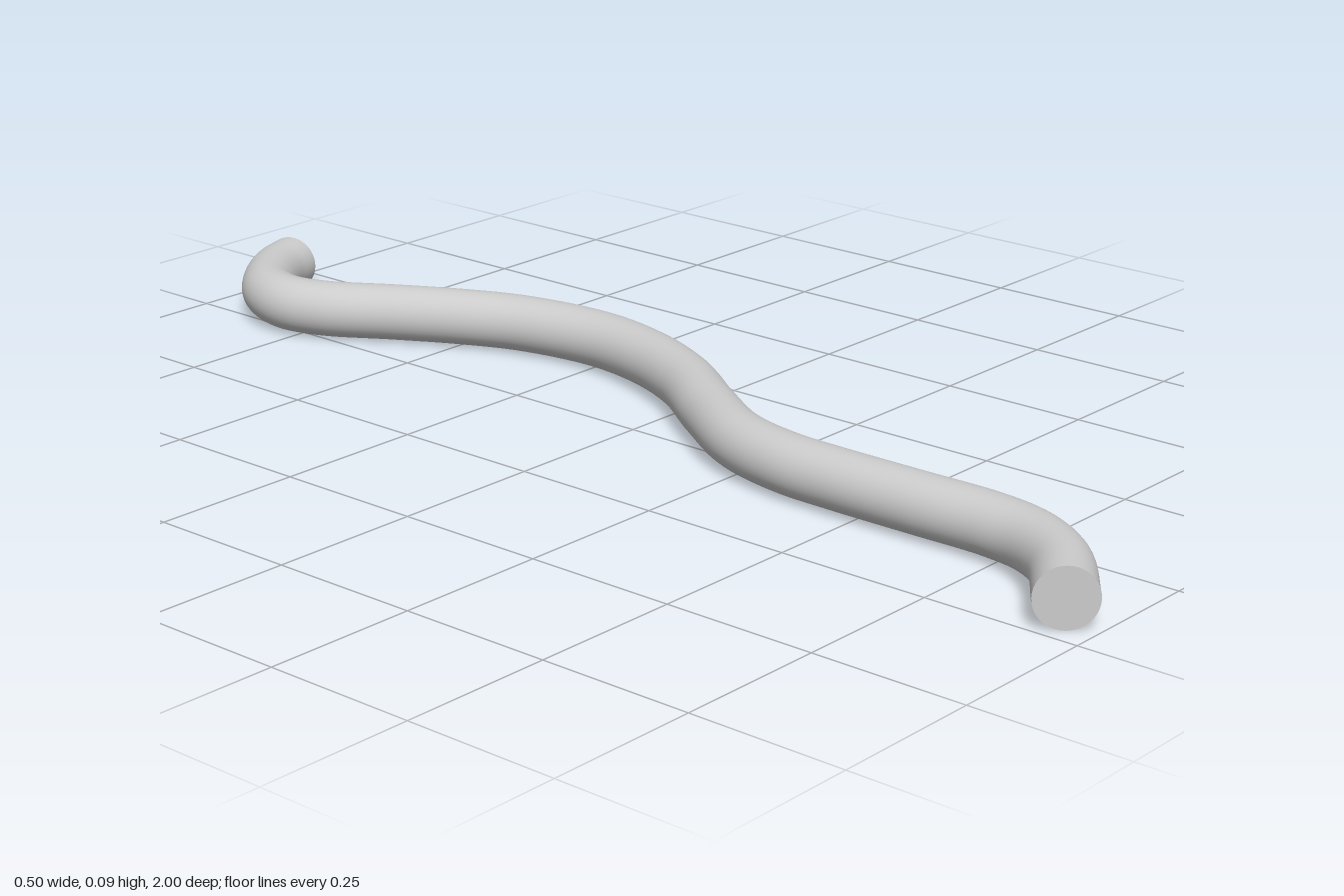
import * as THREE from 'three';

const RADIUS = 0.047;

// Centre line of the rod, as [x, z] at constant height
const PATH = [
  [0.165, -0.955], [0.115, -0.937], [0.062, -0.9], [0.018, -0.85], [0.0, -0.785], [0.017, -0.715],
  [0.08, -0.61], [0.14, -0.5], [0.18, -0.4], [0.2, -0.25], [0.178, -0.12], [0.127, 0.0],
  [0.045, 0.12], [-0.028, 0.24], [-0.057, 0.35], [-0.062, 0.45], [-0.062, 0.6], [-0.062, 0.73],
  [-0.078, 0.81], [-0.122, 0.882], [-0.219, 0.96],
];

export function createModel() {
  const group = new THREE.Group();
  group.name = 'bentRod';
  const material = new THREE.MeshStandardMaterial({ color: 0xcccccc });

  const curve = new THREE.CatmullRomCurve3(
    PATH.map(([x, z]) => new THREE.Vector3(x, RADIUS + 0.002, z)), false, 'centripetal');

  // Round rod swept along the centre line
  const rod = new THREE.Mesh(new THREE.TubeGeometry(curve, 160, RADIUS, 40), material);
  rod.name = 'rod';
  group.add(rod);

  // Flat discs closing both ends, facing outward
  for (const [name, t, sign] of [['backEndCap', 0, -1], ['frontEndCap', 1, 1]]) {
    const cap = new THREE.Mesh(new THREE.CircleGeometry(RADIUS, 40), material);
    cap.name = name;
    cap.position.copy(curve.getPointAt(t));
    const outward = curve.getTangentAt(t).multiplyScalar(sign);
    cap.quaternion.setFromUnitVectors(new THREE.Vector3(0, 0, 1), outward);
    group.add(cap);
  }
  return group;
}
